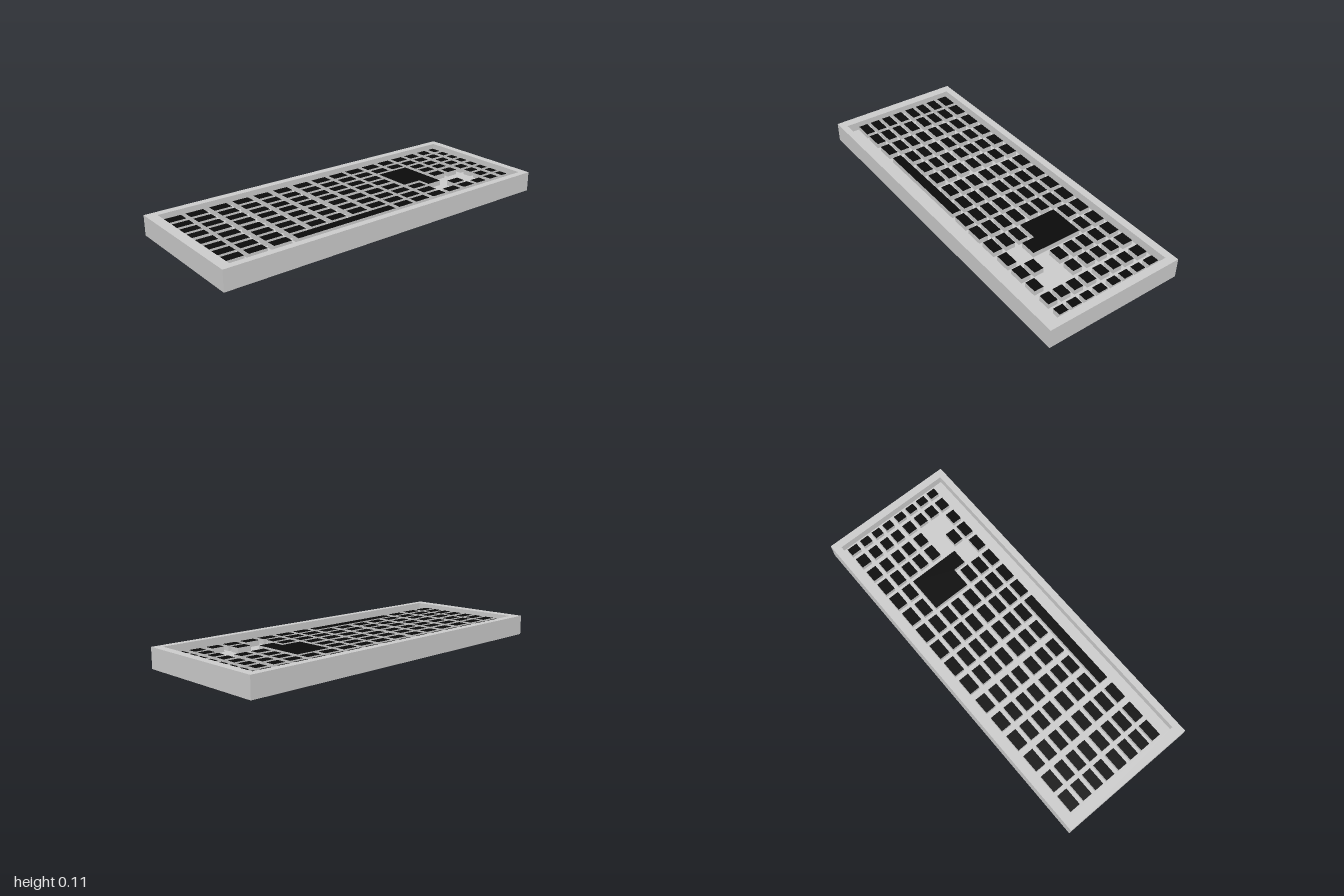
import * as THREE from 'three';

const RIM_Y = 0.11, FLOOR_Y = 0.06, KEY_Y = 0.088;
const grey = new THREE.MeshStandardMaterial({ color: 0xcccccc, flatShading: true });
const black = new THREE.MeshStandardMaterial({ color: 0x0a0a0a, flatShading: true });

// outline in plan: [x, z] corners
const outline = (pts, Type = THREE.Shape) => new Type(pts.map(([x, z]) => new THREE.Vector2(x, -z)));
const rect = (x0, x1, z0, z1) => [[x0, z0], [x0, z1], [x1, z1], [x1, z0]];

// upright prism standing between two heights
function prism(name, shape, y0, y1, material) {
  const geo = new THREE.ExtrudeGeometry(shape, { depth: y1 - y0, bevelEnabled: false });
  geo.rotateX(-Math.PI / 2).translate(0, y0, 0);
  const mesh = new THREE.Mesh(geo, material);
  mesh.name = name;
  return mesh;
}

export function createModel() {
  const model = new THREE.Group();
  model.name = 'keyboard';

  // tray: raised rim around a sunken floor
  const rim = outline(rect(-0.387, 0.387, -1, 1));
  rim.holes.push(outline(rect(-0.345, 0.35, -0.957, 0.945), THREE.Path));
  model.add(prism('rim', rim, 0, RIM_Y, grey));
  model.add(prism('floor', outline(rect(-0.345, 0.35, -0.957, 0.945)), 0, FLOOR_Y, grey));

  // keys: grey sides with black tops
  const keys = new THREE.Group();
  keys.name = 'keys';
  model.add(keys);
  const addKey = (name, pts) => keys.add(prism(name, outline(pts), FLOOR_Y, KEY_Y, [black, grey]));

  const columns = [[-0.325, -0.265], [-0.24, -0.185], [-0.16, -0.108], [-0.085, -0.032],
    [-0.003, 0.053], [0.078, 0.13], [0.153, 0.208], [0.23, 0.283]];
  // row centre and depth
  const rows = [[-0.912, 0.045], [-0.825, 0.065], [-0.722, 0.07], [-0.62, 0.08],
    [-0.51, 0.085], [-0.392, 0.092], [-0.27, 0.095], [-0.15, 0.095],
    [-0.027, 0.095], [0.1, 0.095], [0.233, 0.09], [0.358, 0.09],
    [0.485, 0.095], [0.62, 0.1], [0.755, 0.1], [0.88, 0.1]];
  // 'x' key, '.' empty or covered by a larger key
  const layout = ['xxxxxxxx', 'xxxxxxxx', 'xxxxx..x', 'xxxxx.xx',
    'xx.....x', 'xx...xxx', 'xxxxxxxx', 'xxxxxxxx',
    ...Array(5).fill('xxxxxxx.'), ...Array(3).fill('xxxxxxxx')];

  layout.forEach((line, r) => {
    const [z, depth] = rows[r];
    columns.forEach(([x0, x1], c) => {
      if (line[c] === 'x') addKey('key', rect(x0, x1, z - depth / 2, z + depth / 2));
    });
  });

  // long space bar and L-shaped enter key
  addKey('spaceBar', rect(0.23, 0.283, -0.075, 0.533));
  addKey('enterKey', [[-0.163, -0.55], [-0.163, -0.345], [0.053, -0.345],
    [0.053, -0.46], [0.127, -0.46], [0.127, -0.55]]);

  return model;
}
